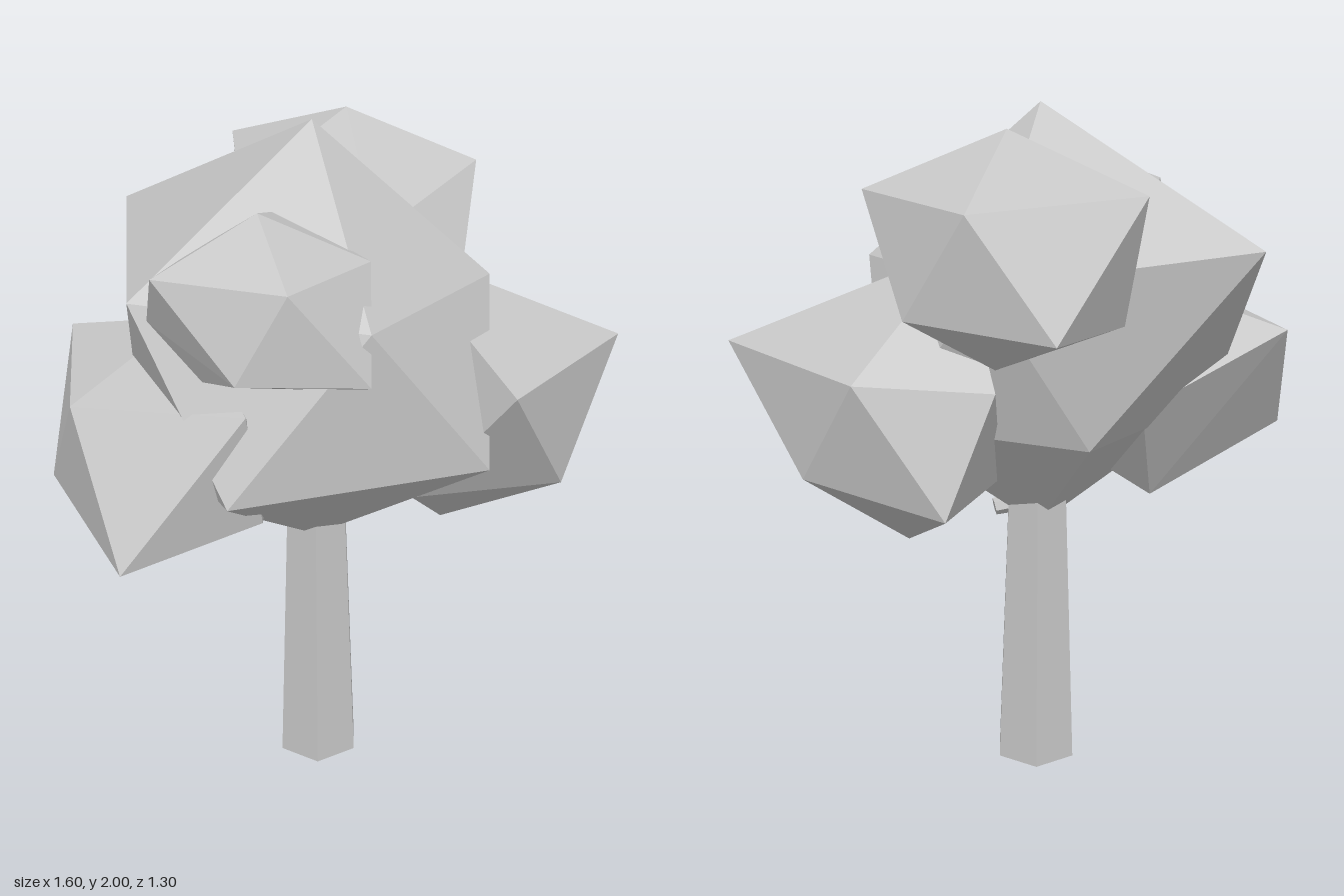
import * as THREE from 'three';
import { ConvexGeometry } from 'three/addons/geometries/ConvexGeometry.js';

const grey = new THREE.MeshStandardMaterial({ color: 0xc4c4c4 });
grey.name = 'plain grey';
grey.flatShading = true;

// faceted clump of leaves: the convex hull of a few corner points
function clump(name, corners) {
  const points = corners.map((c) => new THREE.Vector3(...c));
  const mesh = new THREE.Mesh(new ConvexGeometry(points), grey);
  mesh.name = name;
  return mesh;
}

// six-sided tapered limb between two points
function limb(name, from, to, rFrom, rTo) {
  const a = new THREE.Vector3(...from);
  const b = new THREE.Vector3(...to);
  const dir = b.clone().sub(a);
  const mesh = new THREE.Mesh(new THREE.CylinderGeometry(rTo, rFrom, dir.length(), 6), grey);
  mesh.position.copy(a).add(b).multiplyScalar(0.5);
  mesh.quaternion.setFromUnitVectors(new THREE.Vector3(0, 1, 0), dir.normalize());
  mesh.name = name;
  return mesh;
}

export function createModel() {
  const tree = new THREE.Group();
  tree.name = 'tree';

  // trunk and the short branch under the crown
  tree.add(limb('trunk', [-0.067, 0, 0.03], [-0.067, 1.0, 0.03], 0.132, 0.092));
  tree.add(limb('branch', [0.01, 0.84, 0.01], [0.06, 0.83, 0], 0.03, 0.025));

  // main crown: top, upper ring, lower ring, bottom
  tree.add(clump('mainCrown', [
    [-0.07, 2.0, 0.03],
    [0.41, 1.58, 0.03], [0.08, 1.58, 0.47], [-0.53, 1.62, 0.36], [-0.63, 1.67, -0.39], [0.08, 1.58, -0.4],
    [0.4, 1.15, 0.36], [-0.28, 1.15, 0.58], [-0.57, 1.15, 0.03], [-0.2, 1.12, -0.34], [0.36, 1.15, -0.2],
    [-0.07, 0.76, 0.03],
  ]));

  // side clump on +x
  tree.add(clump('leftClump', [
    [0.8, 1.36, -0.08], [0.15, 1.62, -0.08], [0.46, 1.36, 0.37], [0.42, 1.33, -0.43],
    [0.63, 1.0, 0.15], [0.58, 1.02, -0.28], [0.31, 0.76, -0.08],
    [0.22, 0.98, 0.2], [0.18, 0.98, -0.5], [0.05, 1.3, -0.4], [0.04, 0.95, -0.08],
  ]));

  // side clump on -x
  tree.add(clump('rightClump', [
    [-0.76, 1.39, -0.08], [-0.69, 1.35, 0.39], [-0.8, 1.04, 0.18], [-0.55, 1.0, 0.65],
    [-0.4, 0.87, 0], [-0.23, 1.38, 0.52], [-0.42, 1.48, 0.1], [-0.2, 1.04, 0.45],
    [-0.35, 1.2, -0.22], [-0.2, 1.0, 0],
  ]));

  // high front clump
  tree.add(clump('frontClump', [
    [-0.2, 1.84, 0.32], [-0.45, 1.73, 0.49], [-0.12, 1.71, 0.55], [0.08, 1.72, 0.33],
    [-0.25, 1.49, 0.58], [0.08, 1.46, 0.52], [-0.48, 1.58, 0.38], [-0.38, 1.43, 0.4],
    [0.04, 1.4, 0.4], [-0.38, 1.7, 0.2], [-0.15, 1.79, 0.14],
  ]));

  // high back clump
  tree.add(clump('backClump', [
    [0.02, 1.96, -0.28], [0.39, 1.81, -0.28], [0.12, 1.79, -0.56], [-0.32, 1.83, -0.53],
    [-0.1, 1.49, -0.65], [0.28, 1.51, -0.47], [0.35, 1.57, -0.11], [-0.28, 1.75, -0.2],
    [0.1, 1.68, 0.0], [0.05, 1.37, -0.42], [-0.28, 1.48, -0.4],
  ]));

  return tree;
}
